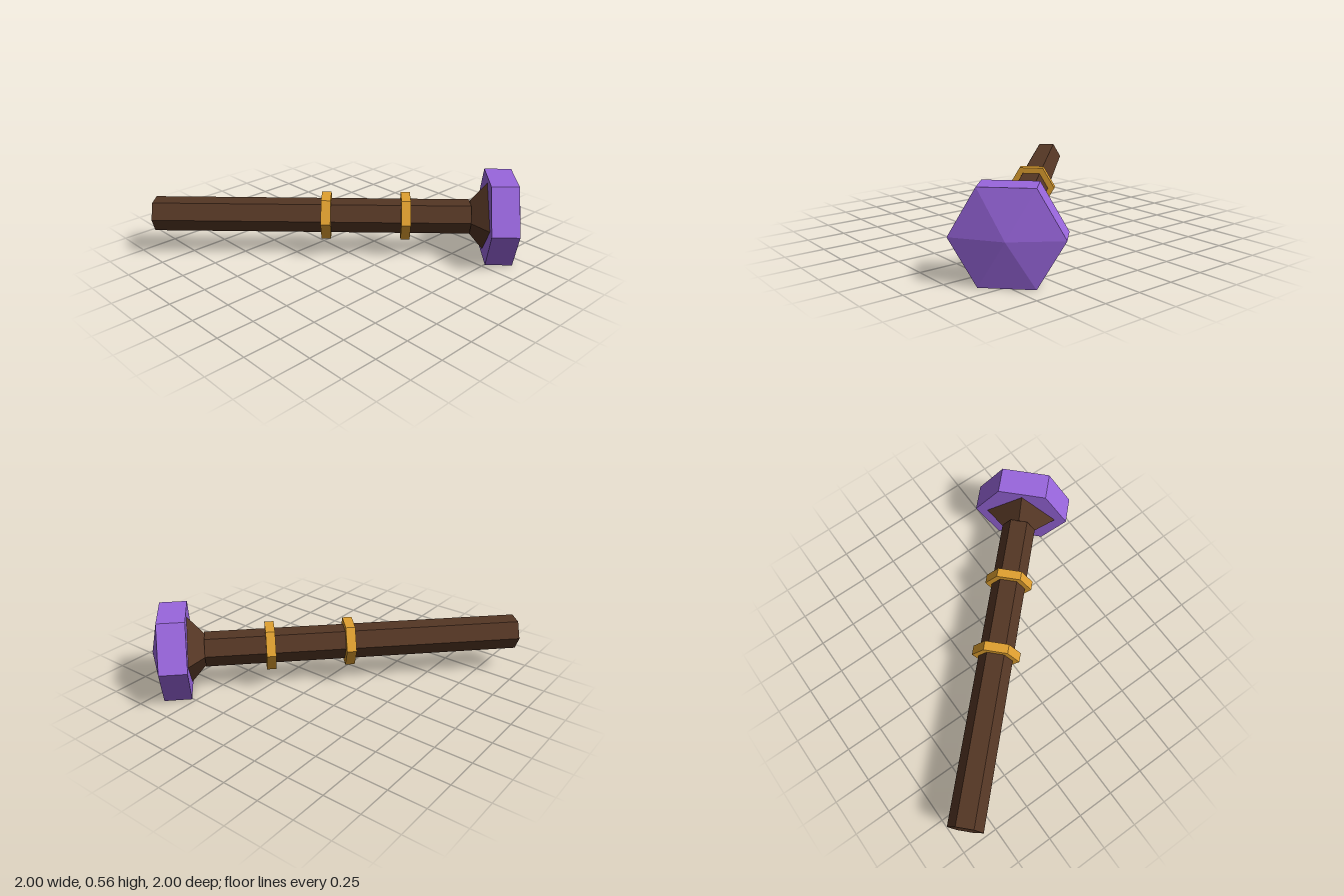
import * as THREE from 'three';

const material = (name, color) => {
  const m = new THREE.MeshStandardMaterial({ color, flatShading: true });
  m.name = name;
  return m;
};

export function createModel() {
  const wood = material('dark wood', 0x543624);
  const gold = material('gold', 0xe0a030);
  const purple = material('purple crystal', 0x9966dd);

  const model = new THREE.Group();
  model.name = 'mace';
  model.position.y = 0.28;
  model.rotation.y = -Math.PI / 4; // lies diagonally, head to the back left

  // Faceted section along the shaft, from s0 (radius r0) to s1 (radius r1)
  const section = (name, mat, s0, s1, r0, r1 = r0, sides = 6) => {
    const geo = new THREE.CylinderGeometry(r1, r0, s1 - s0, sides);
    geo.rotateY(Math.PI / 2); // corners point sideways, flats up and down
    geo.rotateX(-Math.PI / 2);
    geo.translate(0, 0, -(s0 + s1) / 2);
    const mesh = new THREE.Mesh(geo, mat);
    mesh.name = name;
    model.add(mesh);
  };

  section('handle', wood, -1.297, 0.806, 0.115);
  section('lowerRing', gold, -0.178, -0.115, 0.159);
  section('upperRing', gold, 0.348, 0.409, 0.159);
  section('neck', wood, 0.803, 0.909, 0.115, 0.243, 4); // four-sided flare
  section('head', purple, 0.908, 1.087, 0.323);
  section('headPoint', purple, 1.087, 1.146, 0.323, 0); // shallow pointed cap

  const root = new THREE.Group();
  root.add(model);
  return root;
}
